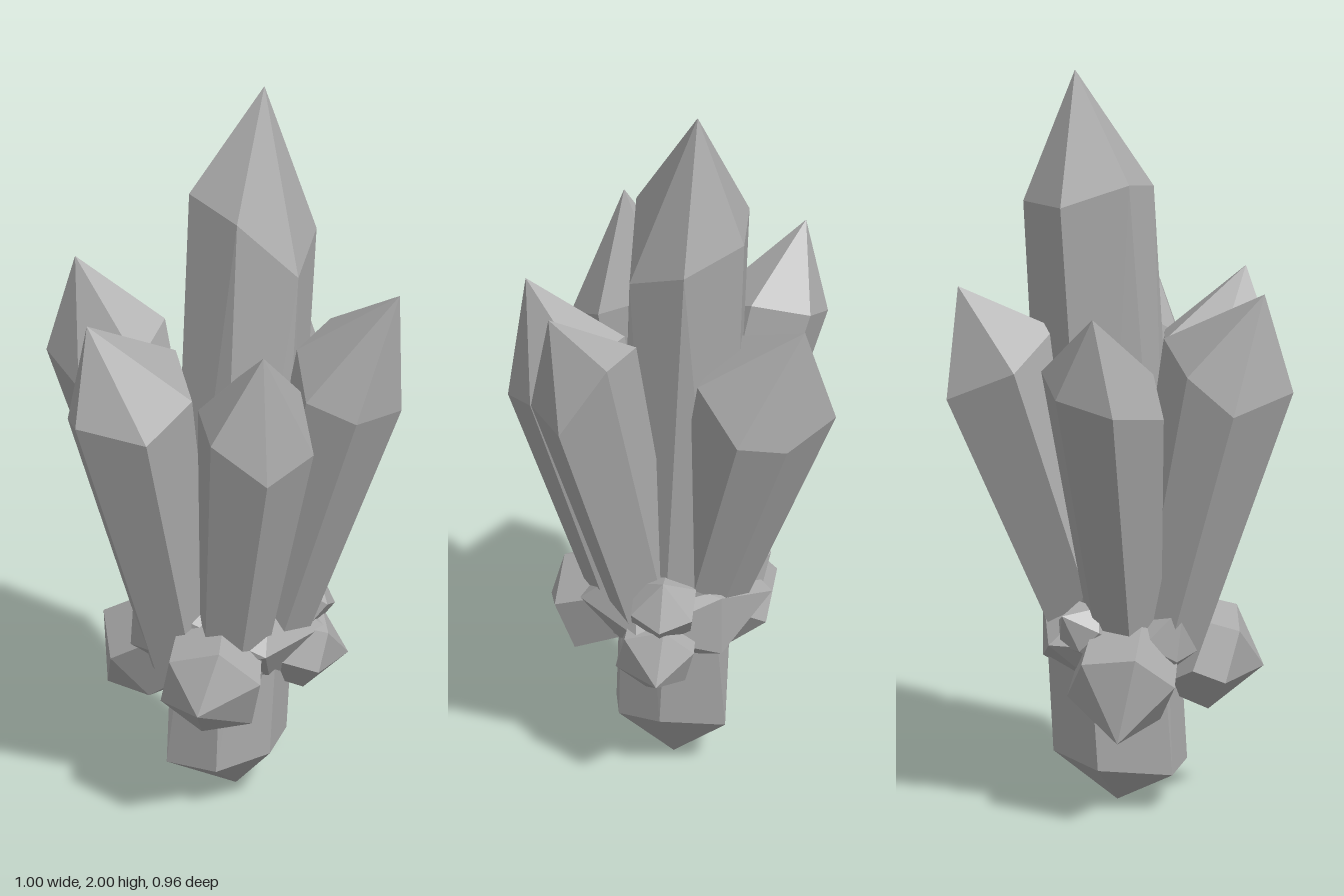
import * as THREE from 'three';
import { ConvexGeometry } from 'three/addons/geometries/ConvexGeometry.js';

const V = (a) => new THREE.Vector3(...a);

export function createModel() {
  const group = new THREE.Group();
  const stone = new THREE.MeshStandardMaterial({ color: 0xaaaaaa });
  stone.name = 'grey crystal';
  stone.flatShading = true;

  // Faceted solid around a set of corner points
  function facet(name, points) {
    const mesh = new THREE.Mesh(new ConvexGeometry(points), stone);
    mesh.name = name;
    group.add(mesh);
  }

  // Single-pointed crystal: small base ring, wide shoulder ring, tip
  function crystal(name, base, ring, tip, taper) {
    const shoulder = ring.map(V);
    const mid = shoulder.reduce((s, p) => s.add(p), V([0, 0, 0])).divideScalar(shoulder.length);
    const foot = shoulder.map((p) => p.clone().sub(mid).multiplyScalar(taper).add(V(base)));
    facet(name, [...foot, ...shoulder, V(tip)]);
  }

  // Regular hexagonal shoulder ring facing from base to tip
  function hexRing(base, centre, tip, r, twist) {
    const dir = V(tip).sub(V(base)).normalize();
    const q = new THREE.Quaternion().setFromUnitVectors(V([0, 1, 0]), dir);
    return Array.from({ length: 6 }, (_, i) => {
      const a = twist + (i * Math.PI) / 3;
      return V([Math.cos(a) * r, 0, Math.sin(a) * r]).applyQuaternion(q).add(V(centre)).toArray();
    });
  }

  // Tall double-pointed centre crystal: top tip, upper ring, lower ring, bottom tip
  facet('centreCrystal', [
    [0.03, 2, -0.175],
    [-0.035, 1.645, -0.3], [0.137, 1.58, -0.265], [0.2, 1.51, -0.1],
    [0.09, 1.68, 0.027], [-0.083, 1.72, 0.01], [-0.147, 1.66, -0.163],
    [-0.03, 0.135, -0.217], [0.13, 0.16, -0.14], [0.172, 0.14, -0.01],
    [0.09, 0.11, 0.12], [-0.07, 0.1, 0.127], [-0.14, 0.115, -0.06],
    [0.025, 0, -0.055],
  ].map(V));

  // Leaning outer crystals
  crystal('rightCrystal', [-0.07, 0.4, 0], [
    [-0.5, 1.18, 0.09], [-0.457, 1.21, -0.083], [-0.35, 1.26, -0.155],
    [-0.22, 1.29, -0.065], [-0.18, 1.23, 0.107], [-0.325, 1.145, 0.18],
  ], [-0.457, 1.44, 0.02], 0.55);
  crystal('frontCrystal', [-0.05, 0.4, 0.08], [
    [-0.112, 1.19, 0.478], [-0.235, 1.14, 0.348], [-0.23, 1.24, 0.217],
    [-0.06, 1.3, 0.1], [0.083, 1.23, 0.217], [0.056, 1.15, 0.385],
  ], [-0.13, 1.46, 0.403], 0.55);
  crystal('frontLeftCrystal', [0.08, 0.4, 0.05], [
    [0.393, 1.11, 0.088], [0.356, 1.06, 0.246], [0.233, 1.18, 0.334],
    [0.09, 1.2, 0.2], [0.112, 1.25, 0.05], [0.283, 1.235, 0],
  ], [0.32, 1.42, 0.215], 0.55);
  crystal('leftCrystal', [0.1, 0.42, -0.08], [
    [0.46, 1.18, -0.013], [0.32, 1.22, 0.025], [0.21, 1.31, -0.08],
    [0.24, 1.37, -0.19], [0.37, 1.36, -0.24], [0.485, 1.17, -0.18],
  ], [0.5, 1.52, -0.153], 0.55);
  crystal('backCrystal', [-0.01, 0.42, -0.1], [
    [-0.225, 1.13, -0.457], [-0.05, 1.085, -0.48], [0.064, 1.1, -0.41],
    [0.1, 1.24, -0.275], [-0.07, 1.31, -0.2], [-0.248, 1.22, -0.262],
  ], [-0.126, 1.42, -0.455], 0.55);

  // Faceted core joining the crystals
  const core = new THREE.Mesh(new THREE.IcosahedronGeometry(1, 0), stone);
  core.name = 'core';
  core.scale.set(0.26, 0.16, 0.25);
  core.position.set(0.01, 0.47, -0.045);
  group.add(core);

  // Short stubs and nubs around the core: base, shoulder centre, tip, radius, twist
  const stubs = [
    ['frontStub', [0.05, 0.45, 0.06], [0.135, 0.385, 0.205], [0.17, 0.36, 0.31], 0.145, 0.3],
    ['rightStub', [-0.06, 0.46, 0.01], [-0.225, 0.36, 0.03], [-0.325, 0.24, 0.05], 0.15, 0.2],
    ['backLeftStub', [0.06, 0.45, -0.06], [0.18, 0.39, -0.19], [0.235, 0.36, -0.275], 0.11, 0.4],
    ['frontNub', [-0.06, 0.42, 0.05], [-0.1, 0.5, 0.12], [-0.14, 0.59, 0.18], 0.1, 0.3],
    ['upperNub', [0.07, 0.44, 0.04], [0.1, 0.53, 0.06], [0.12, 0.6, 0.06], 0.085, 0],
    ['backLeftNub', [0.09, 0.43, -0.1], [0.155, 0.56, -0.195], [0.17, 0.63, -0.215], 0.095, 0.2],
    ['backRightNub', [-0.09, 0.46, -0.06], [-0.18, 0.52, -0.1], [-0.24, 0.56, -0.13], 0.075, 0],
  ];
  for (const [name, base, centre, tip, r, twist] of stubs) {
    crystal(name, base, hexRing(base, centre, tip, r, twist), tip, 0.9);
  }

  return group;
}
